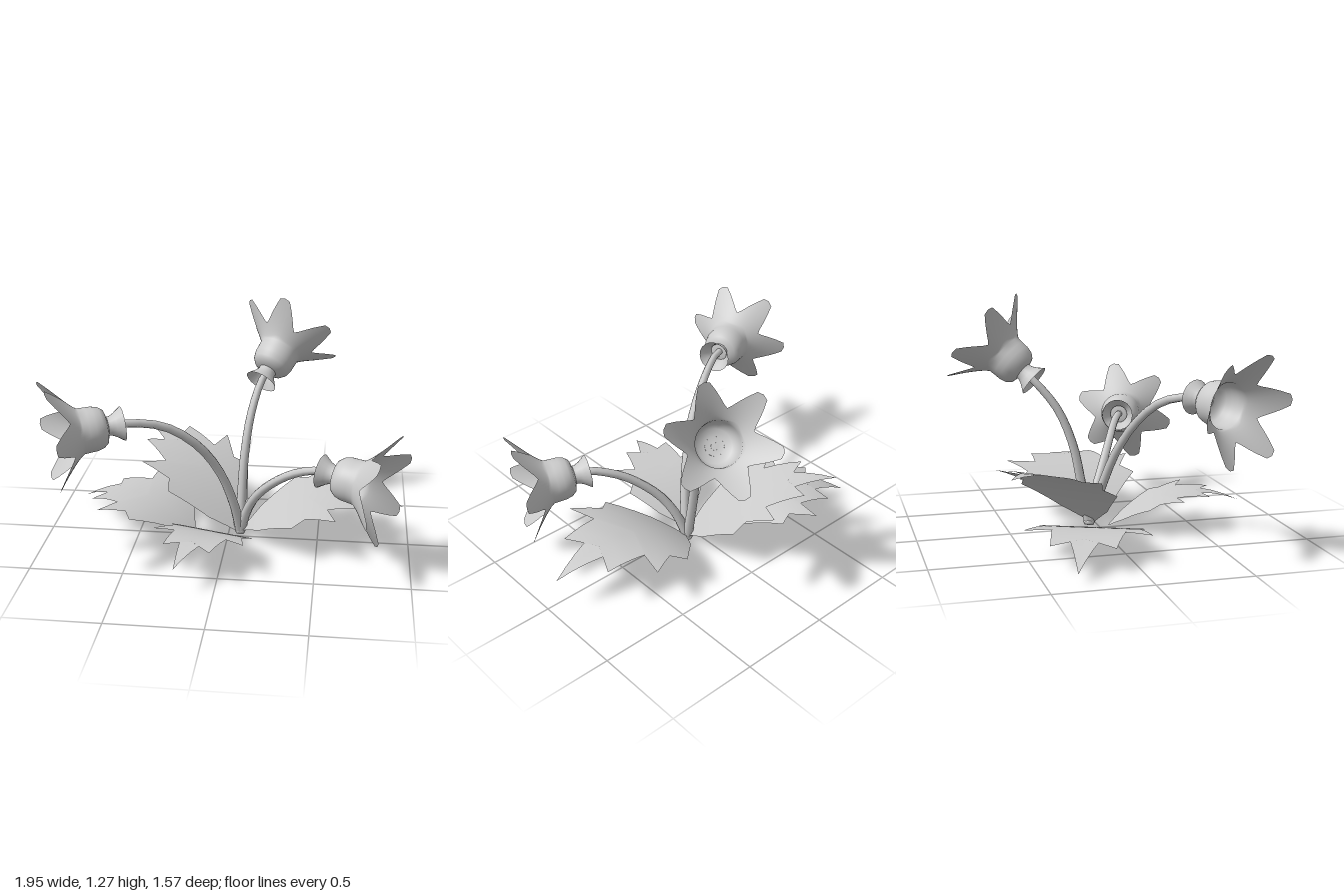
import * as THREE from 'three';
import { mergeVertices } from 'three/addons/utils/BufferGeometryUtils.js';

const material = new THREE.MeshStandardMaterial({ color: 0xcccccc, side: THREE.DoubleSide });
const vec = (a) => new THREE.Vector3(...a);

function mesh(name, geometry) {
  const m = new THREE.Mesh(geometry, material);
  m.name = name;
  return m;
}

const lathe = (points, sides) =>
  new THREE.LatheGeometry(points.map(([r, y]) => new THREE.Vector2(r, y)), sides);

// Bell-shaped bloom: a round cup whose flared rim is cut into six tapering petals
function bloomGeometry() {
  const cup = [[0.018, 0.08], [0.05, 0.08], [0.088, 0.092], [0.106, 0.115], [0.115, 0.15], [0.116, 0.185], [0.118, 0.22]];
  const rimY = 0.22, rows = 8;
  for (let i = 1; i <= rows; i++) cup.push([0.2, rimY + i / rows]);
  let g = lathe(cup, 60);
  const p = g.attributes.position;
  for (let i = 0; i < p.count; i++) {
    if (p.getY(i) < rimY + 0.01) continue;
    const angle = Math.atan2(p.getX(i), p.getZ(i));
    const k = angle / (Math.PI / 3);
    const fromTip = Math.abs(k - Math.round(k)) * 2;
    const reach = 0.38 + 0.62 * Math.pow(Math.min(1, (1 - fromTip) / 0.83), 1.4);
    const s = (p.getY(i) - rimY) * reach;
    const r = 0.118 + 0.177 * Math.pow(s, 1.2);
    p.setXYZ(i, Math.sin(angle) * r, rimY + 0.165 * s, Math.cos(angle) * r);
  }
  g.deleteAttribute('normal');
  g.deleteAttribute('uv');
  g = mergeVertices(g, 1e-4);
  g.computeVertexNormals();
  return g;
}

const bloom = bloomGeometry();
const calyx = lathe([[0.09, 0], [0.08, 0.015], [0.062, 0.04], [0.05, 0.065], [0.05, 0.083]], 20);

// Flower head placed at its base, facing along axis, one petal turned toward "petal"
function flowerHead(base, axis, petal) {
  const head = new THREE.Group();
  head.name = 'flowerHead';
  head.add(mesh('calyx', calyx), mesh('petals', bloom));
  const y = vec(axis).normalize();
  const z = vec(petal).addScaledVector(y, -vec(petal).dot(y)).normalize();
  const x = new THREE.Vector3().crossVectors(y, z);
  head.quaternion.setFromRotationMatrix(new THREE.Matrix4().makeBasis(x, y, z));
  head.position.copy(vec(base));
  return head;
}

// Tapering stem that ends at the floor of the bloom
function stem(path, axis) {
  const points = path.map(vec);
  points.push(points[points.length - 1].clone().addScaledVector(vec(axis).normalize(), 0.085));
  const curve = new THREE.CatmullRomCurve3(points);
  const rings = 14, sides = 8;
  const g = new THREE.TubeGeometry(curve, rings, 1, sides);
  const p = g.attributes.position;
  const v = new THREE.Vector3();
  for (let i = 0; i < p.count; i++) {
    const t = Math.floor(i / (sides + 1)) / rings;
    const c = curve.getPointAt(t);
    v.fromBufferAttribute(p, i).sub(c).multiplyScalar(0.028 - 0.008 * t).add(c);
    p.setXYZ(i, v.x, v.y, v.z);
  }
  const group = new THREE.Group();
  group.name = 'stem';
  const cap = mesh('stemEnd', new THREE.CircleGeometry(0.02, sides));
  cap.position.copy(curve.getPointAt(1));
  cap.quaternion.setFromUnitVectors(new THREE.Vector3(0, 0, 1), curve.getTangentAt(1));
  group.add(mesh('stalk', g), cap);
  return group;
}

// Half outline of a toothed leaf: [along, across], as fractions of the length
const leafEdge = [[0, 0.02], [0.11, 0.19], [0.32, 0.39], [0.4, 0.32], [0.58, 0.42], [0.53, 0.24],
  [0.78, 0.21], [0.72, 0.09], [1, 0]];

// Leaf arching from base to tip (seen from above), highest at "peak" along its length
function leaf({ base, tip, rise, peak, width }) {
  const dx = tip[0] - base[0], dz = tip[1] - base[2];
  const pos = [], index = [];
  const steps = 4, subs = 3;
  for (const side of [-1, 1]) {
    const start = pos.length / 3;
    let rows = 0;
    for (let i = 0; i < leafEdge.length; i++) {
      const last = i === leafEdge.length - 1;
      for (let k = 0; k < (last ? 1 : subs); k++) {
        const [a, b] = [leafEdge[i], leafEdge[last ? i : i + 1]];
        const f = k / subs;
        const u = a[0] + (b[0] - a[0]) * f, v = a[1] + (b[1] - a[1]) * f;
        const rib = Math.max(0, u - 0.48 * v);
        for (let j = 0; j <= steps; j++) {
          const q = j / steps;
          const along = rib + (u - rib) * q, across = v * q * side * width;
          const y = base[1] + rise * (1 - (1 - along / peak) ** 2);
          pos.push(base[0] + dx * along - dz * across, y, base[2] + dz * along + dx * across);
        }
        rows++;
      }
    }
    // wound so that the upper side is the front
    for (let r = 0; r < rows - 1; r++) {
      for (let j = 0; j < steps; j++) {
        const a = start + r * (steps + 1) + j, b = a + steps + 1;
        if (side > 0) index.push(a, b, a + 1, b, b + 1, a + 1);
        else index.push(a, a + 1, b, b, a + 1, b + 1);
      }
    }
  }
  let g = new THREE.BufferGeometry();
  g.setAttribute('position', new THREE.Float32BufferAttribute(pos, 3));
  g.setIndex(index);
  g = mergeVertices(g, 1e-4);
  g.computeVertexNormals();
  return mesh('leaf', g);
}

export function createModel() {
  const model = new THREE.Group();
  model.name = 'flowerPlant';
  const root = [0.065, 0.01, -0.045];

  const flowers = [
    { name: 'rightFlower', axis: [-0.355, -0.03, 0.16], petal: [0.025, 0.28, 0.12],
      path: [root, [0.035, 0.2, 0.01], [-0.04, 0.43, 0.08], [-0.15, 0.61, 0.16], [-0.31, 0.74, 0.25], [-0.5, 0.79, 0.36]] },
    { name: 'leftFlower', axis: [0.35, -0.035, 0.145], petal: [0.06, 0.28, -0.05],
      path: [root, [0.11, 0.17, 0], [0.18, 0.3, 0.06], [0.31, 0.43, 0.14], [0.42, 0.495, 0.195], [0.515, 0.525, 0.245]] },
    { name: 'backFlower', axis: [0.155, 0.235, -0.25], petal: [-0.03, 0.21, 0.17],
      path: [root, [0.07, 0.25, -0.09], [0.08, 0.45, -0.13], [0.105, 0.65, -0.21], [0.15, 0.805, -0.33]] },
  ];
  for (const { name, axis, petal, path } of flowers) {
    const flower = new THREE.Group();
    flower.name = name;
    flower.add(stem(path, axis), flowerHead(path[path.length - 1], axis, petal));
    model.add(flower);
  }

  // Knob where the stems meet
  const knob = mesh('rootKnob', new THREE.SphereGeometry(0.033, 10, 6));
  knob.position.set(0.065, 0.02, -0.045);
  knob.scale.y = 0.6;
  model.add(knob);

  const leaves = [
    { base: [0.08, 0.03, -0.03], tip: [0.965, -0.05], rise: 0.245, peak: 0.65, width: 0.98 },
    { base: [0.06, 0.02, -0.03], tip: [-0.535, -0.59], rise: 0.41, peak: 0.92, width: 0.92 },
    { base: [-0.2, 0.005, -0.06], tip: [-0.89, -0.345], rise: 0.15, peak: 0.54, width: 1.03 },
    { base: [0.005, 0.01, 0.05], tip: [-0.195, 0.72], rise: 0.2, peak: 0.67, width: 0.88 },
  ];
  for (const l of leaves) model.add(leaf(l));
  return model;
}
